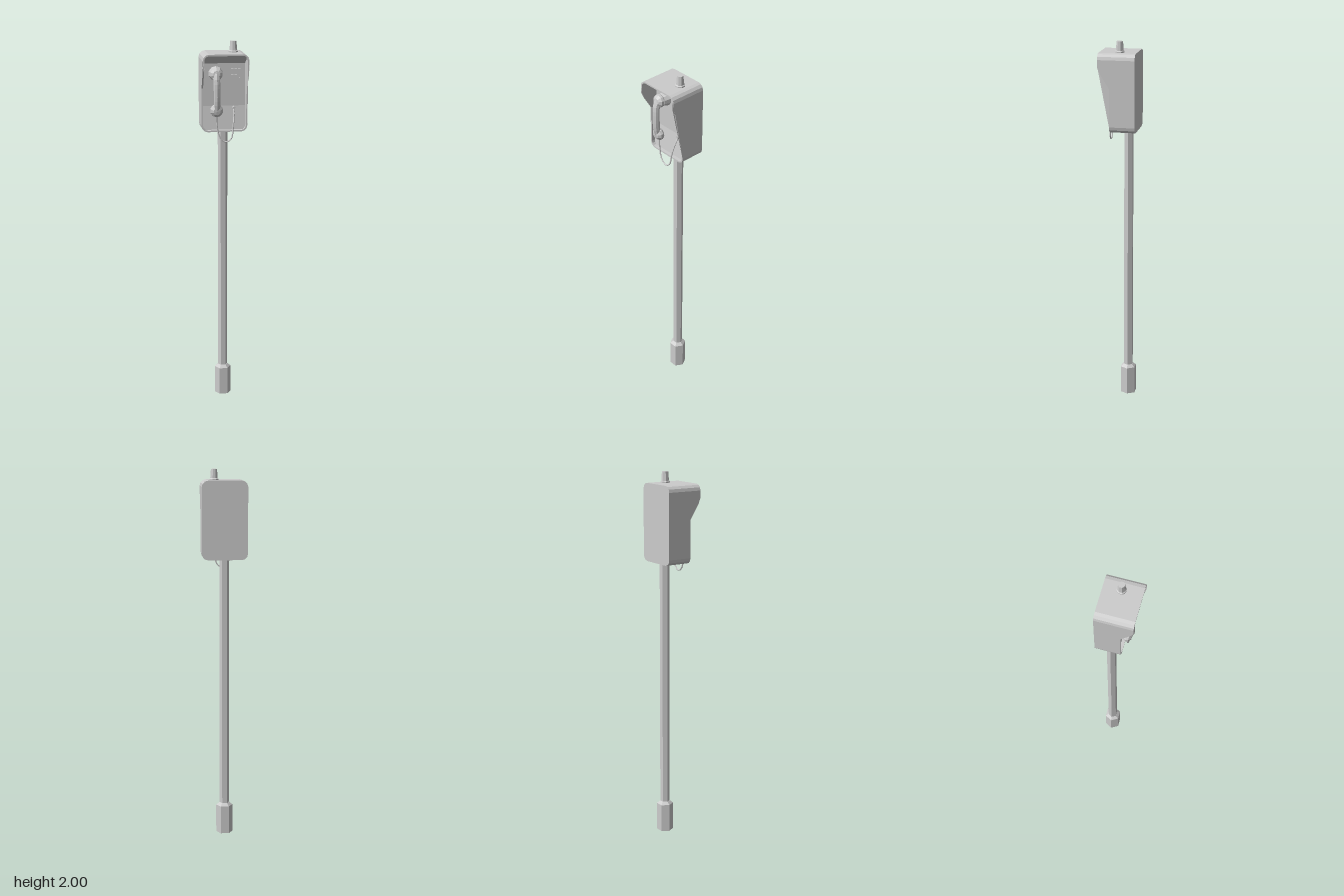
import * as THREE from 'three';

const material = new THREE.MeshStandardMaterial({ color: 0xcccccc, flatShading: true, side: THREE.DoubleSide });
const V = (x, y, z) => new THREE.Vector3(x, y, z);

// Front edge of the hood: [height, depth]
const HOOD = [[1.5, 0.035], [1.76, 0.035], [1.84, 0.085], [1.87, 0.097], [2, 0.097]];
// Inner panel: sloped foot, flat face, sloped soffit
const PANEL = [[1.535, 0.018], [1.66, 0], [1.885, 0], [1.932, 0.088]];

function profile(table, y) {
  for (let i = 1; i < table.length; i++) {
    const [y0, z0] = table[i - 1], [y1, z1] = table[i];
    if (y <= y1) return z0 + (z1 - z0) * Math.max(0, (y - y0) / (y1 - y0));
  }
  return table[table.length - 1][1];
}

// Rounded rectangle with extra points where the hood edge bends
function outline(w, y0, y1, r) {
  const pts = [];
  const corner = (cx, cy, start) => {
    for (let i = 0; i <= 3; i++) {
      const a = start + (i / 3) * Math.PI / 2;
      pts.push(new THREE.Vector2(cx + r * Math.cos(a), cy + r * Math.sin(a)));
    }
  };
  const bends = [1.76, 1.84, 1.87];
  corner(w - r, y0 + r, -Math.PI / 2);
  bends.forEach(y => pts.push(new THREE.Vector2(w, y)));
  corner(w - r, y1 - r, 0);
  corner(-w + r, y1 - r, Math.PI / 2);
  bends.slice().reverse().forEach(y => pts.push(new THREE.Vector2(-w, y)));
  corner(-w + r, y0 + r, Math.PI);
  return pts;
}

export function createModel() {
  const model = new THREE.Group();
  const add = (name, geometry, x = 0, y = 0, z = 0, parent = model) => {
    const mesh = new THREE.Mesh(geometry, material);
    mesh.name = name;
    mesh.position.set(x, y, z);
    parent.add(mesh);
    return mesh;
  };
  // Turned part along y, profile given as [radius, height]
  const turned = (points, sides) =>
    new THREE.LatheGeometry(points.map(p => new THREE.Vector2(...p)), sides);

  // Hexagonal post and foot
  const foot = turned([[0, 0], [0.045, 0], [0.045, 0.155], [0.027, 0.17], [0, 0.17]], 6);
  add('foot', foot.rotateY(Math.PI / 6), 0, 0, -0.048);
  const post = new THREE.CylinderGeometry(0.026, 0.026, 1.38, 6).rotateY(Math.PI / 6);
  add('post', post, 0, 0.85, -0.048);

  // Hooded shell: front edge pulled to the hood profile
  const shape = new THREE.Shape(outline(0.122, 1.525, 1.942, 0.033));
  shape.holes.push(new THREE.Path(outline(0.114, 1.533, 1.934, 0.025).reverse()));
  const shell = new THREE.ExtrudeGeometry(shape, { depth: 1, bevelEnabled: false });
  const p = shell.attributes.position;
  for (let i = 0; i < p.count; i++) p.setZ(i, p.getZ(i) > 0.5 ? profile(HOOD, p.getY(i)) : -0.1);
  shell.computeVertexNormals();
  add('shell', shell);
  const back = new THREE.Shape(outline(0.122, 1.525, 1.942, 0.033));
  add('backPlate', new THREE.ExtrudeGeometry(back, { depth: 0.008, bevelEnabled: false }), 0, 0, -0.1);

  // Inner panel, narrowed to follow the rounded corners
  const rows = [1.535, 1.542, 1.558, 1.66, 1.885, 1.909, 1.925, 1.932];
  const panel = new THREE.PlaneGeometry(2, 1, 1, rows.length - 1);
  const q = panel.attributes.position;
  for (let i = 0; i < q.count; i++) {
    const y = rows[rows.length - 1 - Math.floor(i / 2)];
    const over = Math.max(0, 1.558 - y, y - 1.909);
    const width = 0.089 + Math.sqrt(Math.max(0, 0.025 ** 2 - over ** 2));
    q.setXYZ(i, Math.sign(q.getX(i)) * width, y, profile(PANEL, y));
  }
  panel.computeVertexNormals();
  add('panel', panel);

  // Keypad
  const keypad = new THREE.Group();
  keypad.name = 'keypad';
  model.add(keypad);
  for (let r = 0; r < 4; r++) {
    for (let c = 0; c < 3; c++) {
      add('key', new THREE.BoxGeometry(0.012, 0.011, 0.008), 0.045 + c * 0.018, 1.852 - r * 0.017, 0.003, keypad);
    }
  }

  // Handset: bowed grip with two cups facing the panel
  const handset = new THREE.Group();
  handset.name = 'handset';
  model.add(handset);
  const bow = new THREE.CatmullRomCurve3([
    V(-0.046, 1.845, 0.048), V(-0.045, 1.8, 0.064), V(-0.043, 1.735, 0.067),
    V(-0.043, 1.675, 0.064), V(-0.044, 1.632, 0.052),
  ]);
  add('grip', new THREE.TubeGeometry(bow, 10, 0.018, 8, false), 0, 0, 0, handset);
  const cup = [[0, 0], [0.028, 0], [0.035, 0.009], [0.033, 0.023], [0.019, 0.036], [0, 0.038]];
  const earpiece = add('earpiece', turned(cup, 10), -0.045, 1.832, 0.03, handset);
  const mouthpiece = add('mouthpiece', turned(cup, 10), -0.044, 1.643, 0.036, handset);
  earpiece.rotation.x = Math.PI / 2 - 0.08;
  mouthpiece.rotation.x = Math.PI / 2 + 0.08;

  // Cradle behind the earpiece
  const cradle = add('cradle', new THREE.CylinderGeometry(0.03, 0.039, 0.034, 10), -0.043, 1.832, 0.015);
  cradle.rotation.x = Math.PI / 2;

  // Cord hanging below the shell
  const cord = new THREE.CatmullRomCurve3([
    V(-0.044, 1.625, 0.045), V(-0.042, 1.56, 0.046), V(-0.025, 1.495, 0.047), V(0.005, 1.473, 0.047),
    V(0.034, 1.49, 0.046), V(0.046, 1.56, 0.04), V(0.053, 1.62, 0.02), V(0.054, 1.65, 0),
  ]);
  add('cord', new THREE.TubeGeometry(cord, 32, 0.004, 6, false));
  add('cordSocket', new THREE.CylinderGeometry(0.007, 0.009, 0.016, 8).rotateX(Math.PI / 2), 0.054, 1.65, 0.006);

  // Beacon on the roof
  const beacon = [[0, 0], [0.026, 0], [0.026, 0.008], [0.021, 0.012], [0.017, 0.06], [0, 0.06]];
  add('beacon', turned(beacon, 8).rotateY(Math.PI / 8), 0.052, 1.94, -0.009);

  return model;
}
